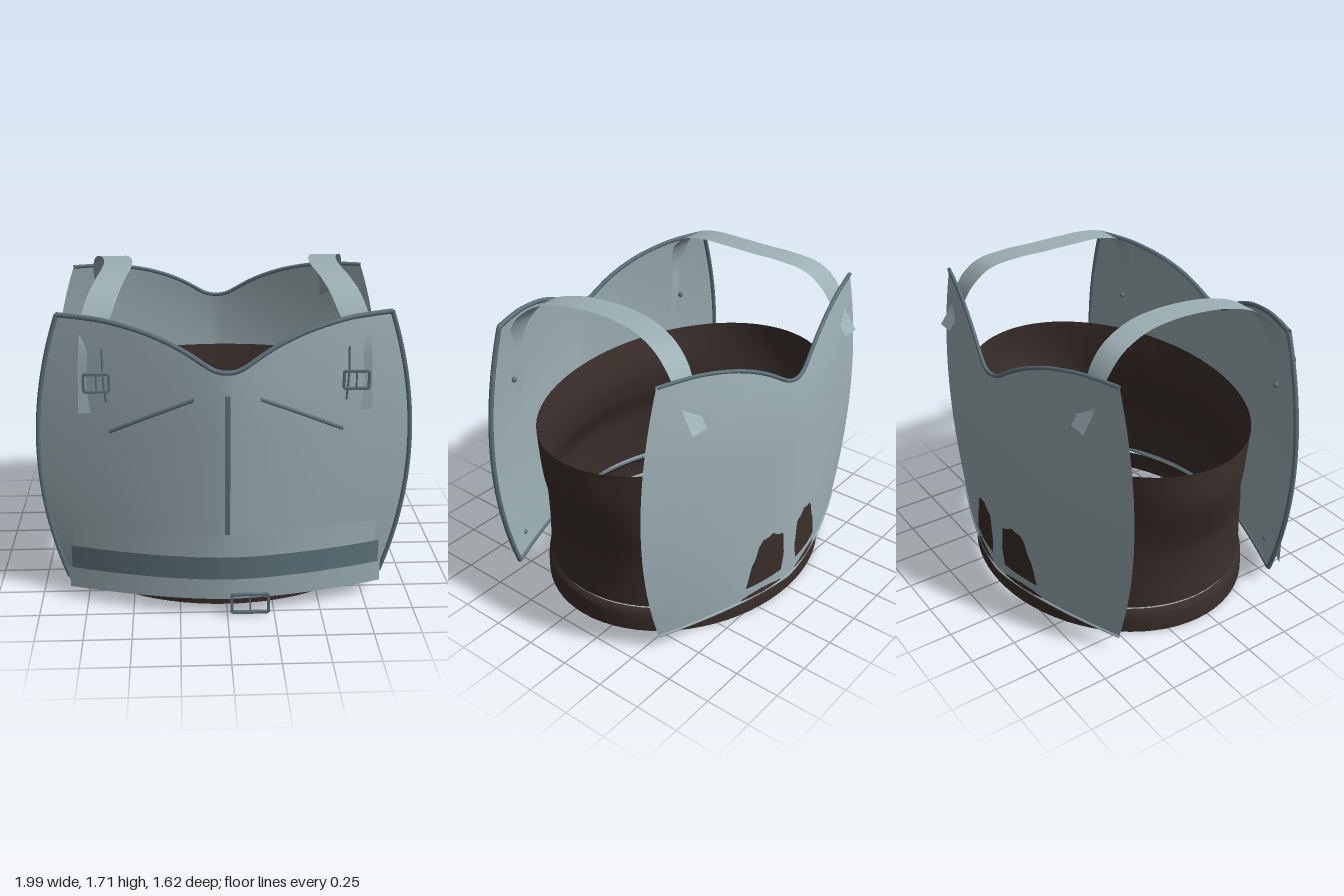
import * as THREE from 'three';

const V = (x, y, z) => new THREE.Vector3(x, y, z);
const mat = (color) => new THREE.MeshStandardMaterial({ color, side: THREE.DoubleSide });

export function createModel() {
  const root = new THREE.Group();
  const steel = mat(0x9db0b5), darkSteel = mat(0x5f747d), leather = mat(0x3a2e2a);

  function add(name, geometry, material, parent = root) {
    const mesh = new THREE.Mesh(geometry, material);
    mesh.name = name;
    parent.add(mesh);
    return mesh;
  }

  // Bends a flat grid: fn(u, v) gives a point, with u and v in 0..1
  function sheet(fn, nu, nv) {
    const g = new THREE.PlaneGeometry(1, 1, nu, nv);
    const p = g.attributes.position;
    for (let i = 0; i < p.count; i++) {
      const q = fn(p.getX(i) + 0.5, p.getY(i) + 0.5);
      p.setXYZ(i, q.x, q.y, q.z);
    }
    g.computeVertexNormals();
    return g;
  }

  const tube = (points, r, n = 40) =>
    new THREE.TubeGeometry(new THREE.CatmullRomCurve3(points), n, r, 6);

  // Shared plate shape: u runs -1..1 across, v runs 0..1 upwards
  const topCurve = new THREE.SplineCurve([[0, 0], [0.04, 0.003], [0.09, 0.02], [0.23, 0.098], [0.36, 0.152],
    [0.51, 0.195], [0.7, 0.228], [0.85, 0.238], [1, 0.24]].map(([x, y]) => new THREE.Vector2(x, y)));
  const topLine = topCurve.getPoints(80);
  function topAt(u) {
    const a = Math.abs(u);
    let i = 1;
    while (i < topLine.length - 1 && topLine[i].x < a) i++;
    const p = topLine[i - 1], q = topLine[i];
    return THREE.MathUtils.lerp(p.y, q.y, (a - p.x) / (q.x - p.x));
  }
  const halfWidth = (y) => 0.985 - 0.13 * ((y - 0.83) / 0.75) ** 2;

  function plate(side, dip, bottom, ridge, edge, lean, power) {
    return (u, v) => {
      const y = THREE.MathUtils.lerp(bottom, dip + topAt(u) * (1.578 - dip) / 0.24, v);
      const mid = ridge - lean * Math.max(0, y - 1) ** 2;
      const z = mid - (mid - edge) * Math.abs(u) ** power;
      return V(u * halfWidth(y), y, side * z);
    };
  }
  const front = plate(1, 1.338, 0.085, 0.73, 0.475, 0.08, 1.4);
  const back = plate(-1, 1.345, 0.085, 0.81, 0.565, 0.2, 1.5);

  // Edge of a plate as a list of points
  const across = (fn, v) => Array.from({ length: 49 }, (_, i) => fn(i / 24 - 1, v));
  const upSide = (fn, u) => Array.from({ length: 17 }, (_, i) => fn(u, i / 16));

  add('frontPlate', sheet((u, v) => front(u * 2 - 1, v), 72, 30), steel);
  add('backPlate', sheet((u, v) => back(u * 2 - 1, v), 72, 30), steel);
  add('frontTopRim', tube(across(front, 1), 0.014, 96), darkSteel);
  add('frontBottomRim', tube(across(front, 0), 0.012, 60), darkSteel);
  add('backTopRim', tube(across(back, 1), 0.011, 96), darkSteel);
  add('backBottomRim', tube(across(back, 0), 0.008, 60), steel);
  for (const s of [-1, 1]) add('frontSideRim', tube(upSide(front, s), 0.014), darkSteel);

  // Leather lining, an oval sleeve: (height, half width, half depth)
  const rings = [[0.165, 0.89, 0.727], [0.32, 0.88, 0.728], [0.5, 0.89, 0.719],
    [0.66, 0.94, 0.655], [0.84, 0.99, 0.63], [1.03, 0.985, 0.68]].map((r) => V(...r));
  const liningCurve = new THREE.CatmullRomCurve3(rings);
  const lining = add('leatherLining', sheet((u, v) => {
    const r = liningCurve.getPoint(v), a = u * Math.PI * 2;
    return V(Math.sin(a) * r.y, r.x, Math.cos(a) * r.z);
  }, 72, 20), leather);
  lining.position.z = -0.08;

  // Thin leather hoop under the lining, rolled in at its top
  const hoopProfile = [[1, 0], [1, 0.05], [0.995, 0.1], [0.985, 0.125], [0.965, 0.135]];
  const hoop = add('bottomHoop', new THREE.LatheGeometry(hoopProfile.map(([x, y]) => new THREE.Vector2(x, y)), 72), leather);
  hoop.scale.set(0.9, 1, 0.74);
  hoop.position.z = -0.07;

  // Waist bands: bottom, top, half width, front depth
  const bands = [['upperBand', 0.335, 0.465, 0.81, 0.775, steel],
    ['middleBand', 0.215, 0.345, 0.83, 0.787, darkSteel],
    ['lowerBand', 0.095, 0.222, 0.845, 0.78, steel]];
  for (const [name, y0, y1, w, z, m] of bands) {
    add(name, sheet((u, v) => {
      const t = u * 2 - 1;
      return V(t * w, THREE.MathUtils.lerp(y0, y1, v) - 0.022 * t * t, z - 0.21 * Math.abs(t) ** 1.7);
    }, 40, 2), m);
  }

  // Raised strip down the middle of the chest
  add('centreStrip', sheet((u, v) => V((u - 0.5) * 0.026, 0.465 + v * 0.765,
    0.762 + 0.012 * Math.sin(v * Math.PI)), 1, 16), darkSteel);

  // Rectangular buckle with a pin
  function buckle(name, w, h, bar) {
    const g = new THREE.Group();
    g.name = name;
    const c = 0.012;
    const shape = new THREE.Shape();
    shape.moveTo(-w / 2 + c, -h / 2).lineTo(w / 2 - c, -h / 2).lineTo(w / 2, -h / 2 + c)
      .lineTo(w / 2, h / 2 - c).lineTo(w / 2 - c, h / 2).lineTo(-w / 2 + c, h / 2)
      .lineTo(-w / 2, h / 2 - c).lineTo(-w / 2, -h / 2 + c).closePath();
    const x = w / 2 - bar, y = h / 2 - bar;
    shape.holes.push(new THREE.Path([[-x, -y], [-x, y], [x, y], [x, -y]].map((p) => new THREE.Vector2(...p))));
    add('frame', new THREE.ExtrudeGeometry(shape, { depth: 0.016, bevelEnabled: false }).translate(0, 0, -0.008), darkSteel, g);
    add('pin', new THREE.BoxGeometry(0.008, h - bar, 0.008), darkSteel, g);
    root.add(g);
    return g;
  }
  buckle('waistBuckle', 0.21, 0.12, 0.015).position.set(0.12, 0.075, 0.795);

  // Shoulder strap path, tucked inside both plates
  const strapCurve = new THREE.CatmullRomCurve3([[0.705, 1.08, 0.57], [0.7, 1.25, 0.556],
    [0.69, 1.42, 0.545], [0.665, 1.54, 0.505], [0.645, 1.6, 0.455], [0.62, 1.66, 0.37],
    [0.59, 1.7, 0.22], [0.567, 1.713, 0.03], [0.568, 1.711, -0.15], [0.595, 1.7, -0.3],
    [0.64, 1.655, -0.46], [0.665, 1.56, -0.56], [0.68, 1.42, -0.625], [0.69, 1.31, -0.695]].map((p) => V(...p)));

  // Parts on both sides
  for (const s of [1, -1]) {
    add('shoulderStrap', sheet((u, v) => {
      const p = strapCurve.getPoint(v);
      const width = 0.11 + 0.045 * THREE.MathUtils.smoothstep(p.y, 1.4, 1.62);
      return V(s * (p.x + (u - 0.5) * width), p.y, p.z);
    }, 2, 64), steel);

    // Slanted chest seam
    add('chestSeam', tube([V(s * 0.17, 1.195, 0.715), V(s * 0.39, 1.1, 0.68), V(s * 0.6, 1.0, 0.63)], 0.01, 16), darkSteel);

    // Shoulder buckle and its narrow tail
    buckle('shoulderBuckle', 0.14, 0.105, 0.013).position.set(s * 0.655, 1.275, 0.665);
    add('strapTail', tube([V(s * 0.625, 1.43, 0.59), V(s * 0.62, 1.3, 0.64), V(s * 0.607, 1.17, 0.665)], 0.006, 12), darkSteel);

    // Rivets
    for (const [x, y, z] of [[0.72, 1.19, 0.548], [0.75, 0.2, 0.535]])
      add('rivet', new THREE.SphereGeometry(0.016, 10, 8).translate(s * x, y, z), darkSteel);
  }
  return root;
}
